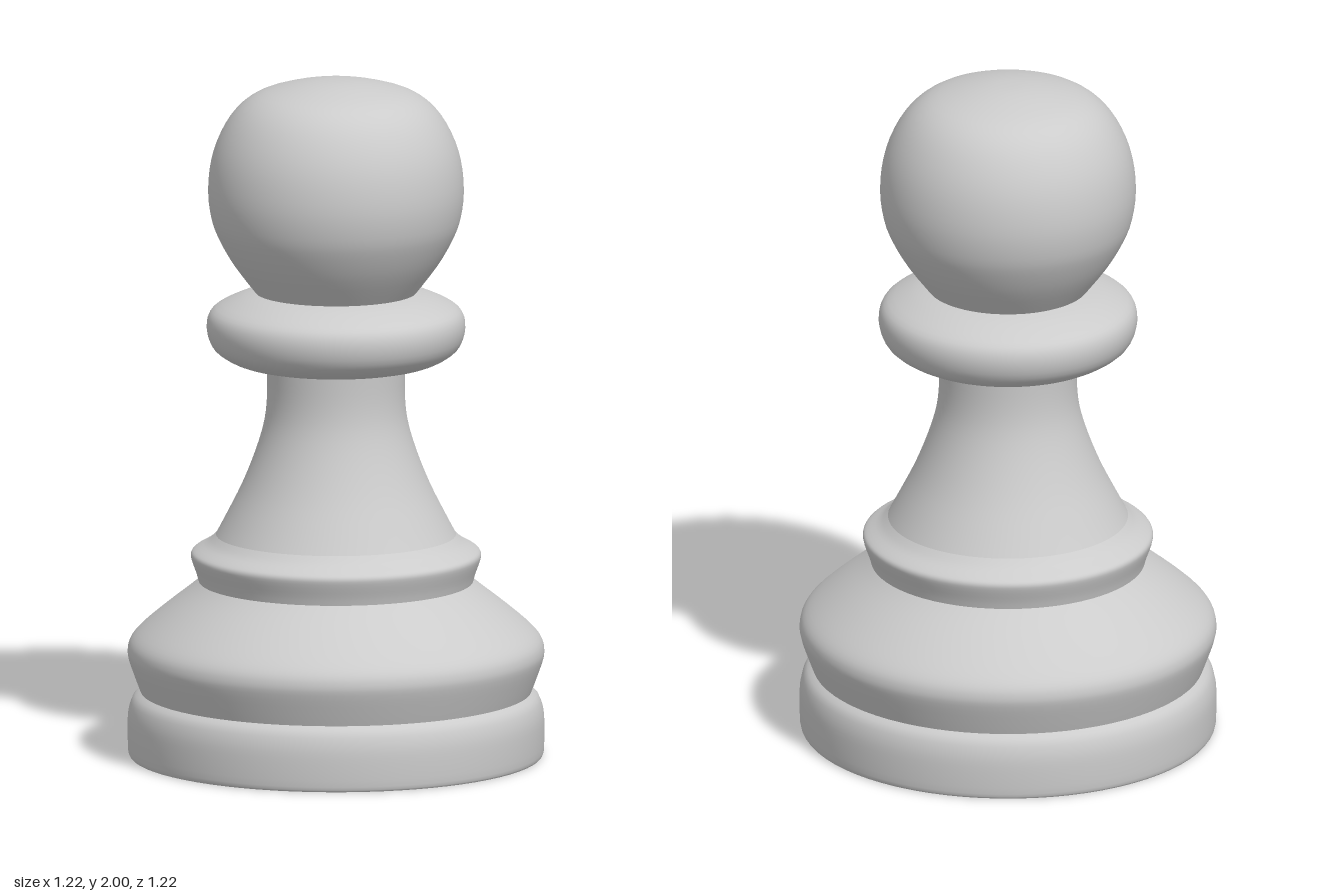
import * as THREE from 'three';

const SEGMENTS = 72;

// Each part is a smooth turned profile of [radius, height], listed bottom to top.
// Neighbouring parts share a ring, which leaves a crisp groove between them.
const PROFILES = {
  foot: [[0.6, 0], [0.606, 0.015], [0.608, 0.08], [0.605, 0.13], [0.592, 0.17], [0.57, 0.19]],
  base: [[0.57, 0.19], [0.585, 0.23], [0.604, 0.285], [0.607, 0.315], [0.597, 0.345],
    [0.565, 0.38], [0.5, 0.435], [0.43, 0.49], [0.4, 0.515]],
  baseRing: [[0.4, 0.515], [0.407, 0.54], [0.421, 0.58], [0.422, 0.598], [0.41, 0.61],
    [0.375, 0.63], [0.35, 0.653]],
  stem: [[0.35, 0.653], [0.32, 0.71], [0.275, 0.8], [0.235, 0.9], [0.209, 0.99],
    [0.201, 1.07], [0.203, 1.155]],
  collar: [[0.203, 1.155], [0.25, 1.158], [0.305, 1.172], [0.355, 1.205], [0.375, 1.25],
    [0.374, 1.295], [0.35, 1.327], [0.285, 1.358], [0.235, 1.372]],
  head: [[0.235, 1.372], [0.298, 1.455], [0.341, 1.53], [0.363, 1.59], [0.373, 1.67],
    [0.364, 1.76], [0.337, 1.84], [0.292, 1.91], [0.23, 1.957], [0.14, 1.985],
    [0.06, 1.998], [0, 2]],
};

export function createModel() {
  const pawn = new THREE.Group();
  pawn.name = 'pawn';
  const material = new THREE.MeshStandardMaterial({ color: 0xcccccc, roughness: 0.6 });

  const add = (name, geometry) => {
    const mesh = new THREE.Mesh(geometry, material);
    mesh.name = name;
    pawn.add(mesh);
    return mesh;
  };

  // Turned parts
  for (const [name, profile] of Object.entries(PROFILES)) {
    const curve = new THREE.SplineCurve(profile.map(([r, y]) => new THREE.Vector2(r, y)));
    const points = curve.getPoints((profile.length - 1) * 3);
    points.forEach((p) => { p.x = Math.max(p.x, 0); });
    add(name, new THREE.LatheGeometry(points, SEGMENTS));
  }

  // Flat underside
  add('underside', new THREE.CircleGeometry(0.6, SEGMENTS).rotateX(Math.PI / 2));

  return pawn;
}
